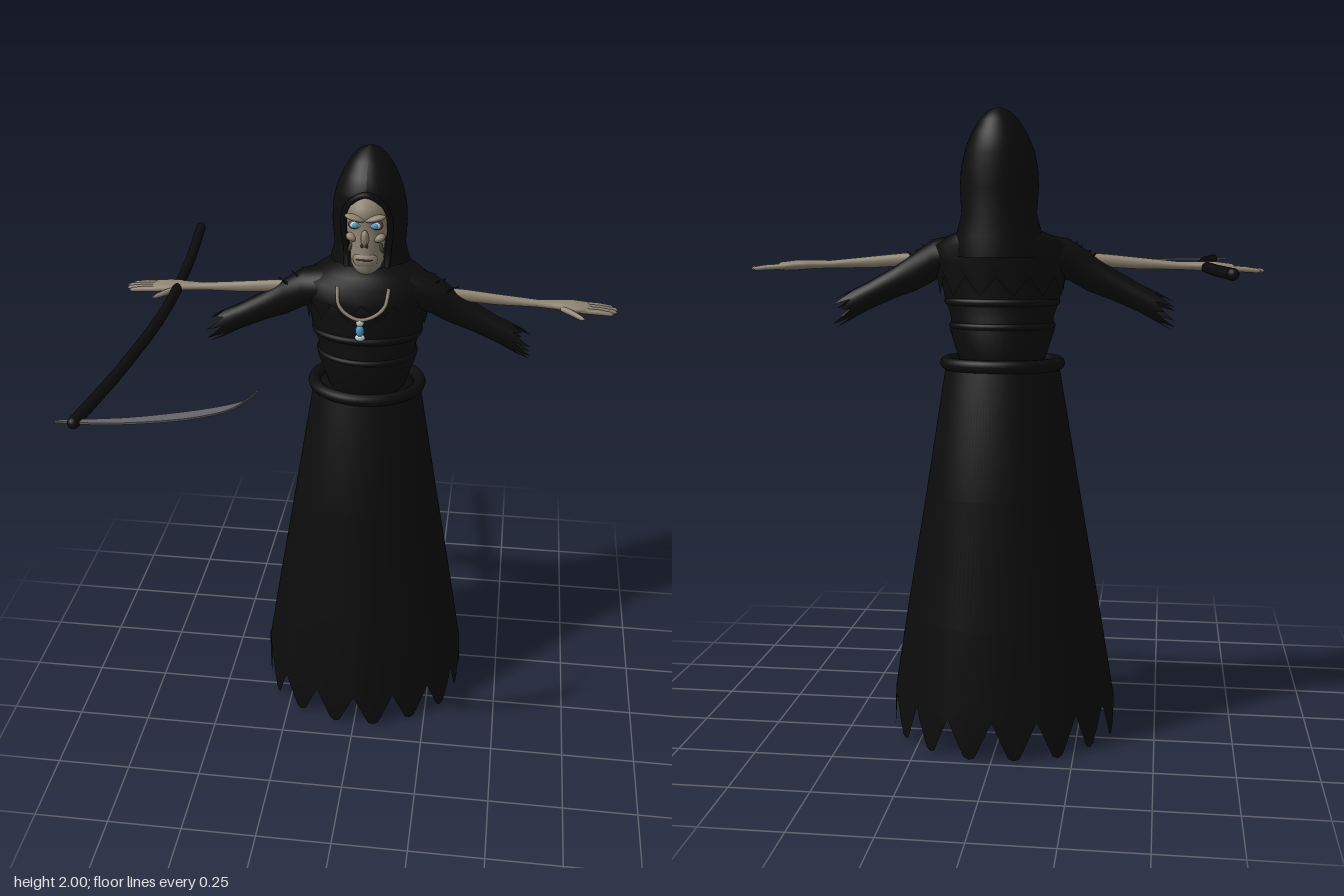
import * as THREE from 'three';

const mat = (name, color) => new THREE.MeshStandardMaterial({ name, color, side: THREE.DoubleSide });

// Grid surface: fn(u, v) -> [x, y, z]; u runs around (wrapped if closed), v along.
function surface(cols, rows, closed, fn) {
  const pos = [], idx = [], w = closed ? cols : cols + 1;
  for (let j = 0; j <= rows; j++)
    for (let i = 0; i < w; i++) pos.push(...fn(i / cols, j));
  for (let j = 0; j < rows; j++)
    for (let i = 0; i < cols; i++) {
      const a = j * w + i, b = j * w + (i + 1) % w;
      idx.push(a, b, a + w, b, b + w, a + w);
    }
  const g = new THREE.BufferGeometry();
  g.setAttribute('position', new THREE.Float32BufferAttribute(pos, 3));
  g.setIndex(idx);
  g.computeVertexNormals();
  return g;
}

// Stacked ellipses, bottom to top: [y, rx, rz, centreZ]; hem(a) overrides the lowest heights.
const stack = (rings, cols, hem, fold = () => 1) => surface(cols, rings.length - 1, true, (u, j) => {
  const [y, rx, rz, cz] = rings[j], a = u * Math.PI * 2, f = fold(a, j);
  return [Math.sin(a) * rx * f, hem && j === 0 ? hem(a) : y, cz + Math.cos(a) * rz * f];
});

// Ellipses along +x: [x, y, z, ry, rz]; end(a) stretches the last ring along the limb.
const limb = (rings, cols, end = () => 0) => surface(cols, rings.length - 1, true, (u, j) => {
  const [x, y, z, ry, rz] = rings[j], a = u * Math.PI * 2;
  const e = j === rings.length - 1 ? end(a) : 0;
  return [x + e, y - Math.sin(a) * ry - e * 0.55, z + Math.cos(a) * rz];
});

// 1 at a notch, 0 at a tip, for n teeth around
const tooth = (a, n) => Math.abs(((a * n) / (Math.PI * 2)) % 1 - 0.5) * 2;

export function createModel() {
  const robe = mat('robe black', 0x0c0c0c), bone = mat('bone', 0x8e8371);
  const steel = mat('blade grey', 0x66656b), blue = mat('glow blue', 0x4a9cc4);
  const pale = mat('pale white', 0xc9d3d6), dark = mat('dark bone', 0x4b4439);
  const model = new THREE.Group();
  const add = (name, geo, m, parent = model) => {
    const mesh = new THREE.Mesh(geo, m);
    mesh.name = name;
    parent.add(mesh);
    return mesh;
  };
  const ball = (name, m, p, s, parent = model, rz = 0) => {
    const b = add(name, new THREE.SphereGeometry(1, 14, 10), m, parent);
    b.position.set(...p);
    b.scale.set(...s);
    b.rotation.z = rz;
    return b;
  };
  const path = pts => new THREE.CatmullRomCurve3(pts.map(p => new THREE.Vector3(...p)));

  // Long skirt with a pointed hem
  add('skirt', stack([
    [0, 0.362, 0.33, -0.147], [0.135, 0.358, 0.327, -0.147], [0.4, 0.315, 0.285, -0.157],
    [0.8, 0.248, 0.222, -0.174], [1.21, 0.18, 0.155, -0.19], [1.212, 0.1, 0.09, -0.19],
  ], 128, a => 0.125 * Math.max(0, (tooth(a, 16) - 0.2) / 0.8),
  (a, j) => 1 + (j < 3 ? 0.012 * Math.sin(a * 7 + 1) : 0)), robe);

  // Waist ring and gathers
  const ring = (name, y, rx, rz, cz, t) => {
    const r = add(name, new THREE.TorusGeometry(1, t / rx, 10, 48), robe);
    r.rotation.x = Math.PI / 2;
    r.scale.set(rx, rz, rx);
    r.position.set(0, y, cz);
  };
  ring('waistRing', 1.215, 0.178, 0.15, -0.19, 0.021);
  ring('lowerGather', 1.335, 0.158, 0.128, -0.195, 0.011);
  ring('upperGather', 1.41, 0.172, 0.122, -0.195, 0.012);

  // Torso and ragged shoulder cape
  add('torso', stack([
    [1.2, 0.125, 0.12, -0.2], [1.24, 0.14, 0.135, -0.2], [1.32, 0.166, 0.135, -0.195],
    [1.36, 0.162, 0.125, -0.195], [1.42, 0.182, 0.12, -0.195], [1.5, 0.195, 0.122, -0.2],
    [1.58, 0.2, 0.12, -0.21], [1.62, 0.14, 0.105, -0.23], [1.635, 0, 0, -0.23],
  ], 40), robe);
  add('shoulderCape', stack([
    [1.46, 0.197, 0.132, -0.205], [1.53, 0.212, 0.135, -0.208], [1.585, 0.21, 0.13, -0.215],
    [1.615, 0.16, 0.12, -0.23], [1.635, 0.11, 0.1, -0.25],
  ], 72, a => 1.43 + 0.06 * tooth(a, 12) + 0.05 * Math.max(0, Math.cos(a))), robe);

  // Hood shell: [y, rx, rz, centreZ, half angle of the face opening]
  const hood = [
    [1.55, 0.14, 0.118, -0.262, 0.5], [1.61, 0.135, 0.112, -0.265, 0.5], [1.68, 0.116, 0.1, -0.268, 0.62],
    [1.76, 0.121, 0.108, -0.262, 0.66], [1.82, 0.118, 0.112, -0.258, 0.6], [1.86, 0.109, 0.11, -0.256, 0.36],
    [1.878, 0.104, 0.109, -0.256, 0], [1.92, 0.086, 0.094, -0.262, 0], [1.96, 0.061, 0.066, -0.269, 0],
    [1.985, 0.036, 0.038, -0.273, 0], [2, 0, 0, -0.275, 0],
  ];
  const hoodPoint = ([y, rx, rz, cz], a) => [Math.sin(a) * rx, y, cz + Math.cos(a) * rz];
  add('hood', surface(48, hood.length - 1, false, (u, j) => {
    const g = hood[j][4];
    return hoodPoint(hood[j], g + u * (Math.PI * 2 - 2 * g));
  }), robe);
  const edge = hood.slice(0, 6);
  add('hoodRim', new THREE.TubeGeometry(path([
    ...edge.map(r => hoodPoint(r, r[4])), hoodPoint(hood[6], 0),
    ...edge.reverse().map(r => hoodPoint(r, -r[4])),
  ]), 60, 0.01, 8), robe);

  // Gaunt head
  const head = new THREE.Group();
  head.name = 'head';
  model.add(head);
  add('skull', stack([
    [1.56, 0.048, 0.05, -0.225], [1.615, 0.04, 0.05, -0.215], [1.625, 0.043, 0.07, -0.195],
    [1.65, 0.053, 0.081, -0.192], [1.69, 0.055, 0.078, -0.192], [1.72, 0.058, 0.074, -0.195],
    [1.75, 0.067, 0.076, -0.198], [1.78, 0.067, 0.066, -0.198], [1.81, 0.07, 0.08, -0.2],
    [1.84, 0.068, 0.075, -0.203], [1.87, 0.05, 0.055, -0.21], [1.885, 0, 0, -0.215],
  ], 32), bone, head);
  ball('nose', bone, [0, 1.745, -0.122], [0.013, 0.028, 0.016], head);
  ball('muzzle', bone, [0, 1.672, -0.132], [0.04, 0.03, 0.024], head);
  for (const s of [-1, 1]) {
    ball('cheekbone', bone, [s * 0.044, 1.742, -0.142], [0.02, 0.013, 0.018], head, s * 0.4);
    ball('brow', bone, [s * 0.032, 1.81, -0.128], [0.034, 0.01, 0.018], head, s * 0.25);
    ball('eyeSocket', dark, [s * 0.032, 1.783, -0.143], [0.024, 0.015, 0.012], head);
    ball('eye', pale, [s * 0.032, 1.784, -0.137], [0.017, 0.011, 0.011], head);
    ball('iris', blue, [s * 0.031, 1.784, -0.13], [0.011, 0.01, 0.007], head);
    ball('nostril', dark, [s * 0.008, 1.725, -0.112], [0.004, 0.007, 0.006], head);
    ball('cheekHollow', dark, [s * 0.05, 1.705, -0.152], [0.006, 0.018, 0.008], head, s * 0.3);
  }
  ball('mouth', dark, [0, 1.678, -0.113], [0.029, 0.003, 0.007], head);

  // Necklace with pendant
  add('necklaceChain', new THREE.TubeGeometry(path([
    [-0.085, 1.59, -0.1], [-0.078, 1.54, -0.072], [-0.05, 1.51, -0.064], [-0.008, 1.495, -0.06],
    [0.04, 1.51, -0.064], [0.07, 1.54, -0.072], [0.08, 1.59, -0.1],
  ]), 40, 0.006, 8), bone);
  ball('pendantCap', pale, [-0.008, 1.485, -0.062], [0.013, 0.014, 0.01]);
  ball('pendantGem', blue, [-0.008, 1.457, -0.06], [0.014, 0.02, 0.012]);
  ball('pendantDrop', pale, [-0.008, 1.432, -0.062], [0.017, 0.012, 0.01]);

  // Arms, hands, sleeves and feet, mirrored
  for (const s of [1, -1]) {
    const side = new THREE.Group();
    side.name = s > 0 ? 'leftLimbs' : 'rightLimbs';
    side.scale.x = s;
    model.add(side);
    add('arm', limb([
      [0.15, 1.545, -0.2, 0.02, 0.016], [0.32, 1.538, -0.198, 0.02, 0.015], [0.42, 1.53, -0.198, 0.018, 0.014],
      [0.55, 1.523, -0.2, 0.012, 0.015], [0.61, 1.522, -0.2, 0.014, 0.024], [0.66, 1.52, -0.2, 0.016, 0.036],
      [0.71, 1.516, -0.201, 0.014, 0.036], [0.73, 1.514, -0.201, 0, 0],
    ], 20), bone, side);
    for (let k = 0; k < 4; k++) {
      const z = -0.228 + k * 0.018, tip = 0.815 - 0.012 * Math.abs(k - 1.4);
      add('finger', limb([
        [0.69, 1.516, z, 0.009, 0.009], [0.75, 1.513, z, 0.009, 0.01],
        [tip - 0.01, 1.509, z, 0.007, 0.008], [tip, 1.508, z, 0, 0],
      ], 10), bone, side);
    }
    add('thumb', limb([
      [0.625, 1.518, -0.185, 0.01, 0.014], [0.66, 1.515, -0.155, 0.01, 0.014],
      [0.69, 1.511, -0.128, 0.008, 0.011], [0.705, 1.509, -0.118, 0, 0],
    ], 10), bone, side);
    add('sleeve', limb([
      [0.13, 1.56, -0.205, 0.06, 0.09], [0.21, 1.54, -0.2, 0.064, 0.065], [0.27, 1.505, -0.2, 0.062, 0.042],
      [0.34, 1.468, -0.2, 0.05, 0.036], [0.43, 1.423, -0.2, 0.044, 0.035], [0.48, 1.398, -0.2, 0.046, 0.036],
    ], 72, a => 0.07 * (1 - tooth(a, 9)) * (0.7 + 0.3 * Math.cos(a * 3))), robe, side);
    for (let k = 0; k < 5; k++) { // ragged shoulder tufts
      const t = add('sleeveTuft', new THREE.ConeGeometry(0.014, 0.05, 4), robe, side);
      t.position.set(0.2 + k * 0.02, 1.592 - k * 0.011, -0.215 + (k % 2) * 0.04);
      t.rotation.z = -1.1 + (k % 3) * 0.25;
    }
    const foot = new THREE.Group();
    foot.name = 'foot';
    foot.position.set(0.115, 0.22, -0.14);
    foot.rotation.x = 0.6;
    side.add(foot);
    ball('sole', bone, [0, 0, 0], [0.04, 0.032, 0.1], foot);
    ball('heel', bone, [0, 0.01, -0.07], [0.034, 0.04, 0.04], foot);
    for (let k = 0; k < 5; k++)
      ball('toe', bone, [-0.03 + k * 0.015, -0.005, 0.092 - k * 0.006], [0.009, 0.011, 0.022], foot);
    add('shin', new THREE.CylinderGeometry(0.03, 0.028, 0.3, 14), bone, side).position.set(0.115, 0.4, -0.2);
  }

  // Scythe: bowed shaft and a flat crescent blade
  const scythe = new THREE.Group();
  scythe.name = 'scythe';
  scythe.position.y = 1.518;
  model.add(scythe);
  add('shaft', new THREE.TubeGeometry(path([
    [-0.686, 0, -0.742], [-0.648, 0, -0.4], [-0.628, 0, 0], [-0.648, 0, 0.4], [-0.686, 0, 0.738],
  ]), 48, 0.017, 14), robe, scythe);
  for (const z of [-0.742, 0.738]) ball('shaftEnd', robe, [-0.686, 0, z], [0.017, 0.017, 0.017], scythe);
  const crescent = new THREE.Shape();
  crescent.moveTo(-0.74, 0.738);
  crescent.splineThru([[-0.62, 0.735], [-0.5, 0.714], [-0.37, 0.672], [-0.275, 0.605], [-0.226, 0.485]]
    .map(p => new THREE.Vector2(...p)));
  crescent.splineThru([[-0.25, 0.555], [-0.318, 0.605], [-0.43, 0.655], [-0.56, 0.698], [-0.74, 0.733]]
    .map(p => new THREE.Vector2(...p)));
  const blade = new THREE.ExtrudeGeometry(crescent, { depth: 0.006, bevelEnabled: false, curveSegments: 24 });
  blade.rotateX(Math.PI / 2);
  add('blade', blade, steel, scythe).position.y = 0.003;

  return model;
}
